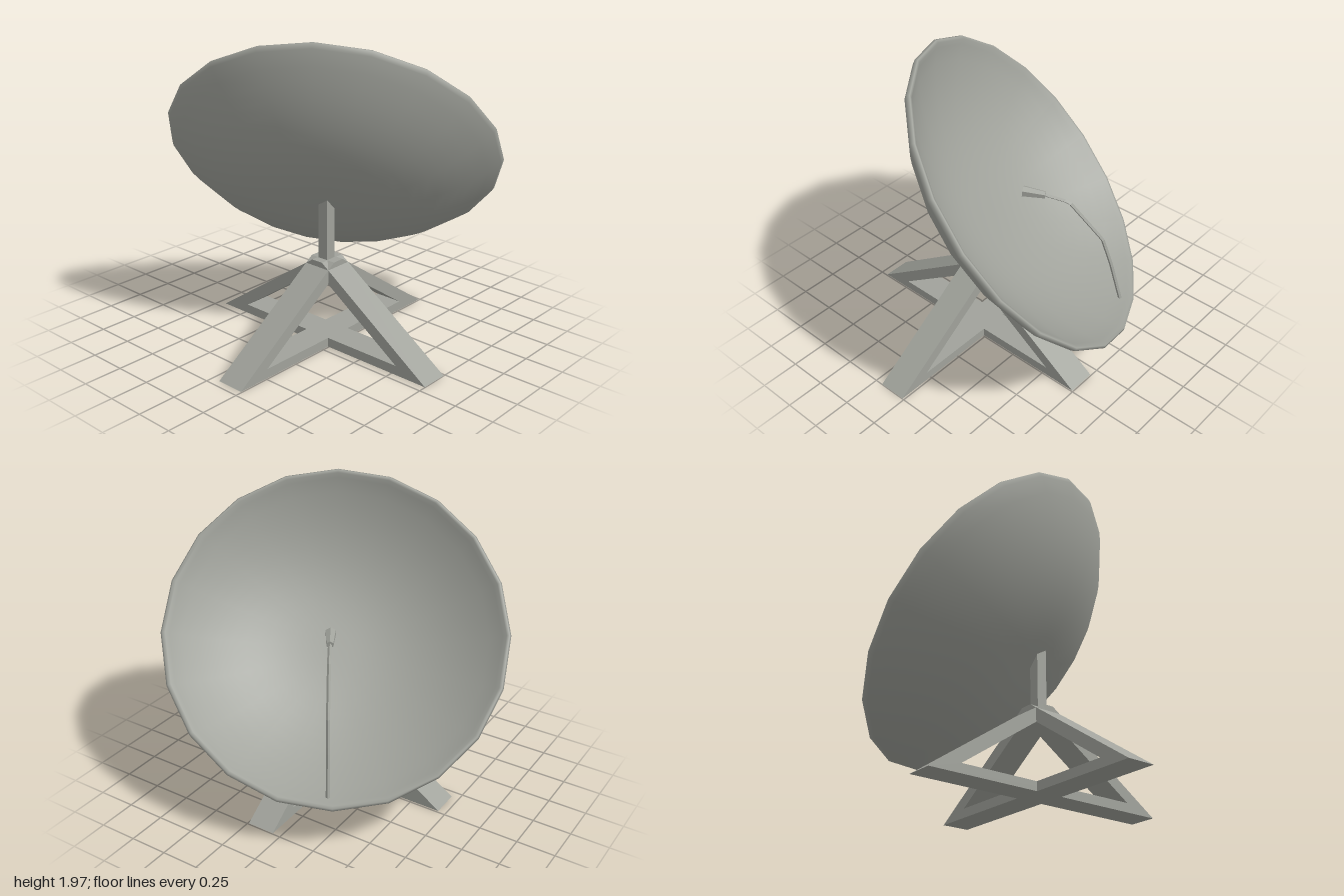
import * as THREE from 'three';

const grey = new THREE.MeshStandardMaterial({ color: 0xa0a29b });
grey.name = 'weathered grey';

const AXIS = new THREE.Vector3(-0.4, 0.64, -0.655).normalize(); // dish pointing direction
const RIM = new THREE.Vector3(-0.025, 1.155, -0.15);            // centre of the rim circle
const RADIUS = 1.065, DEPTH = 0.41;
const BASE_X = 0.15, BASE_Z = 0.105;

function add(parent, name, geometry) {
  const mesh = new THREE.Mesh(geometry, grey);
  mesh.name = name;
  parent.add(mesh);
  return mesh;
}

// Triangular leg frame with a triangular opening
function frameGeometry() {
  const width = 0.185;
  const shape = new THREE.Shape([[-0.848, 0], [0.848, 0], [0.04, 0.555], [-0.04, 0.555]]
    .map(p => new THREE.Vector2(...p)));
  shape.holes.push(new THREE.Path([[-0.63, 0.06], [0, 0.49], [0.63, 0.06]]
    .map(p => new THREE.Vector2(...p))));
  const g = new THREE.ExtrudeGeometry(shape, { depth: width, bevelEnabled: false });
  return g.translate(0, 0, -width / 2);
}

// Square post whose top is cut to sit within the dish shell
function postGeometry() {
  const g = new THREE.BoxGeometry(0.07, 0.5, 0.07).translate(BASE_X, 0.78, BASE_Z + 0.005);
  const p = g.attributes.position;
  for (let i = 0; i < p.count; i++) {
    const x = p.getX(i), z = p.getZ(i);
    const cut = RIM.y + (-DEPTH + 0.015 - AXIS.x * (x - RIM.x) - AXIS.z * (z - RIM.z)) / AXIS.y;
    p.setY(i, p.getY(i) > 0.78 ? cut : 0.53);
  }
  g.computeVertexNormals();
  return g;
}

// Thin double-walled bowl with a rolled lip, axis along +y
function dishGeometry() {
  const steps = 14, pts = [];
  const bowl = (r, lift) => -DEPTH * (1 - Math.pow(r / RADIUS, 2.5)) + lift;
  for (let i = 0; i <= steps; i++) {
    const r = (RADIUS - 0.015) * i / steps;
    pts.push(new THREE.Vector2(r, bowl(r, -0.015 * i / steps)));
  }
  pts.push(new THREE.Vector2(RADIUS, 0));
  pts.push(new THREE.Vector2(RADIUS - 0.012, 0.015));
  pts.push(new THREE.Vector2(RADIUS - 0.03, 0.012));
  for (let i = steps; i >= 0; i--) {
    const r = (RADIUS - 0.05) * i / steps;
    pts.push(new THREE.Vector2(r, bowl(r, 0.03)));
  }
  return new THREE.LatheGeometry(pts, 20);
}

export function createModel() {
  const model = new THREE.Group();
  model.name = 'satelliteDish';

  // Two crossed leg frames
  for (const [name, turn] of [['sideLegFrame', 0], ['frontBackLegFrame', Math.PI / 2]]) {
    const frame = add(model, name, frameGeometry());
    frame.position.set(BASE_X, 0, BASE_Z);
    frame.rotation.y = turn;
  }
  add(model, 'post', postGeometry());

  // Tilted dish: local y is the pointing axis, local z runs to the lowest rim point
  const dish = new THREE.Group();
  dish.name = 'dish';
  const low = new THREE.Vector3(0, -1, 0).addScaledVector(AXIS, AXIS.y).normalize();
  const side = new THREE.Vector3().crossVectors(AXIS, low);
  dish.quaternion.setFromRotationMatrix(new THREE.Matrix4().makeBasis(side, AXIS, low));
  dish.position.copy(RIM);
  model.add(dish);
  add(dish, 'reflector', dishGeometry());

  // Bent feed arm made of straight square bars
  const arm = [[-0.05, 1.0], [0.08, 0.72], [0.15, 0.54], [0.15, 0.2], [0.06, 0.08]]
    .map(([y, z]) => new THREE.Vector3(-0.03, y, z));
  const path = new THREE.CurvePath();
  for (let i = 1; i < arm.length; i++) path.add(new THREE.LineCurve3(arm[i - 1], arm[i]));
  const armGeometry = new THREE.TubeGeometry(path, 24, 0.012, 4, false).toNonIndexed();
  armGeometry.computeVertexNormals();
  add(dish, 'feedArm', armGeometry);

  // Six-sided receiver horn at the end of the arm
  const hornGeometry = new THREE.CylinderGeometry(0.024, 0.036, 0.14, 6).toNonIndexed();
  hornGeometry.computeVertexNormals();
  const horn = add(dish, 'receiverHorn', hornGeometry);
  horn.position.set(-0.03, 0.01, 0.03);
  horn.rotation.x = Math.PI / 4;

  return model;
}
